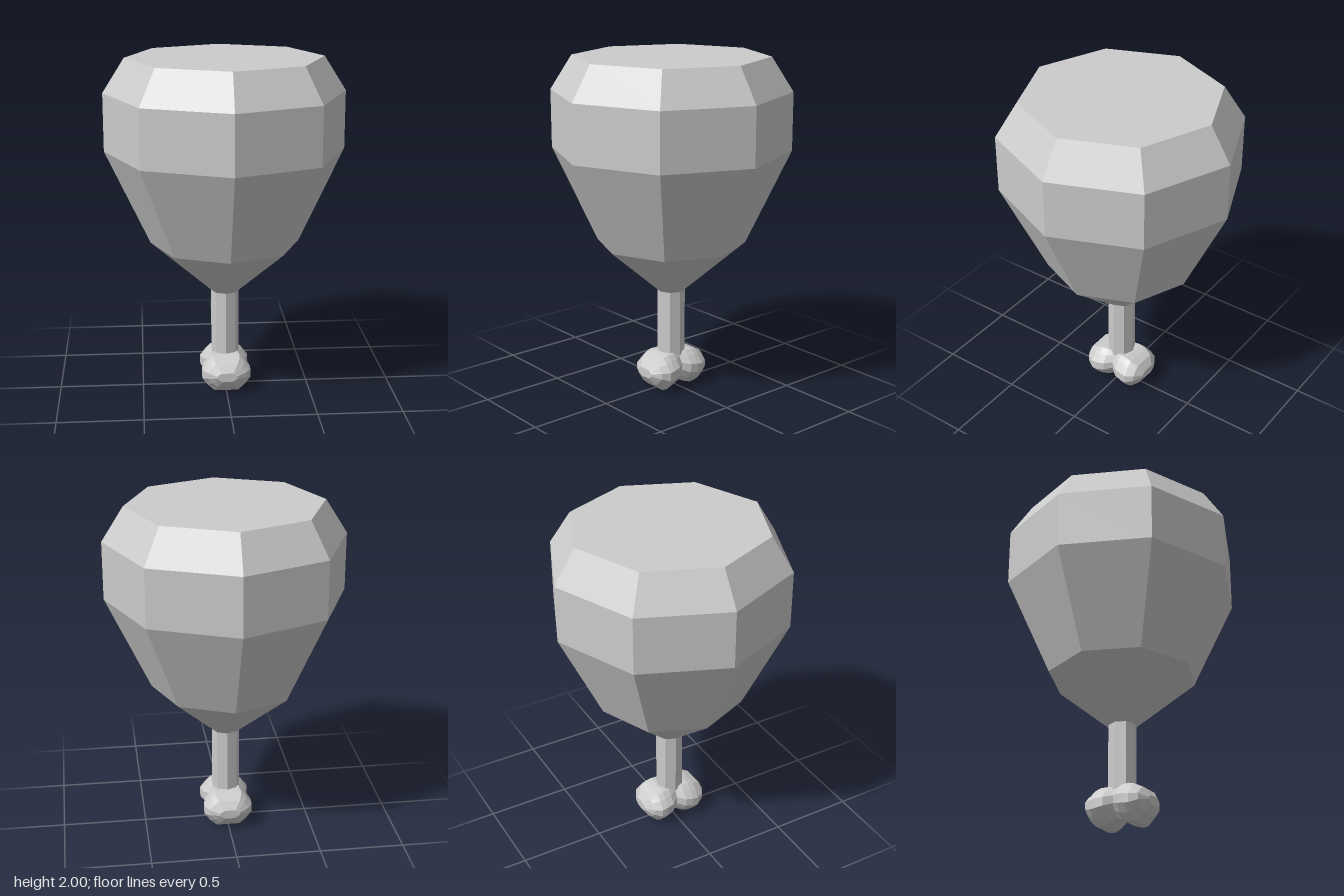
import * as THREE from 'three';

const grey = new THREE.MeshStandardMaterial({ color: 0xcccccc });
grey.name = 'plain grey';

// Facets a geometry with hard edges and wraps it in a named mesh
function part(name, geometry) {
  const flat = geometry.index ? geometry.toNonIndexed() : geometry;
  flat.computeVertexNormals();
  const mesh = new THREE.Mesh(flat, grey);
  mesh.name = name;
  return mesh;
}

// Eight-sided turned part from [radius, height] pairs, bottom to top
function turned(name, profile) {
  return part(name, new THREE.LatheGeometry(profile.map(([r, y]) => new THREE.Vector2(r, y)), 8));
}

// Two-lobed knuckle, lofted along z through mirrored cross-sections
function knuckleGeometry() {
  const half = [[0.07, 0], [0.11, 0.17], [0.145, 0.39], [0.145, 0.64], [0.11, 0.86], [0.08, 1]]; // half width, height fraction
  const outline = [...half, ...half.map(([x, t]) => [-x, t]).reverse()];
  // z, width scale, bottom, top
  const lobe = [[0.045, 0.94, 0.015, 0.22], [0.09, 1, 0, 0.22], [0.125, 1, 0.002, 0.21],
    [0.172, 0.82, 0.043, 0.188], [0.205, 0.42, 0.088, 0.142]];
  const sections = [...lobe.map(([z, ...s]) => [-z, ...s]).reverse(), [0, 0.7, 0.04, 0.22], ...lobe];
  const n = outline.length;
  const positions = [];
  const index = [];
  for (const [z, w, low, high] of sections)
    for (const [x, t] of outline) positions.push(x * w, low + t * (high - low), z);
  for (let i = 0; i < sections.length - 1; i++)
    for (let j = 0; j < n; j++) {
      const a = i * n + j, b = i * n + (j + 1) % n;
      index.push(a, b, b + n, a, b + n, a + n);
    }
  // End caps
  const last = (sections.length - 1) * n;
  for (let j = 1; j < n - 1; j++) {
    index.push(0, j + 1, j);
    index.push(last, last + j, last + j + 1);
  }
  const geometry = new THREE.BufferGeometry();
  geometry.setAttribute('position', new THREE.Float32BufferAttribute(positions, 3));
  geometry.setIndex(index);
  return geometry;
}

export function createModel() {
  const model = new THREE.Group();
  model.name = 'drumstick';
  // Large faceted head with a flat top
  model.add(turned('head', [[0, 0.6], [0.08, 0.6], [0.44, 0.905], [0.7, 1.46], [0.7, 1.8], [0.573, 2], [0, 2]]));
  // Slim shaft
  model.add(turned('shaft', [[0.083, 0.2], [0.083, 0.61]]));
  // Bone end
  model.add(part('knuckle', knuckleGeometry()));
  return model;
}
